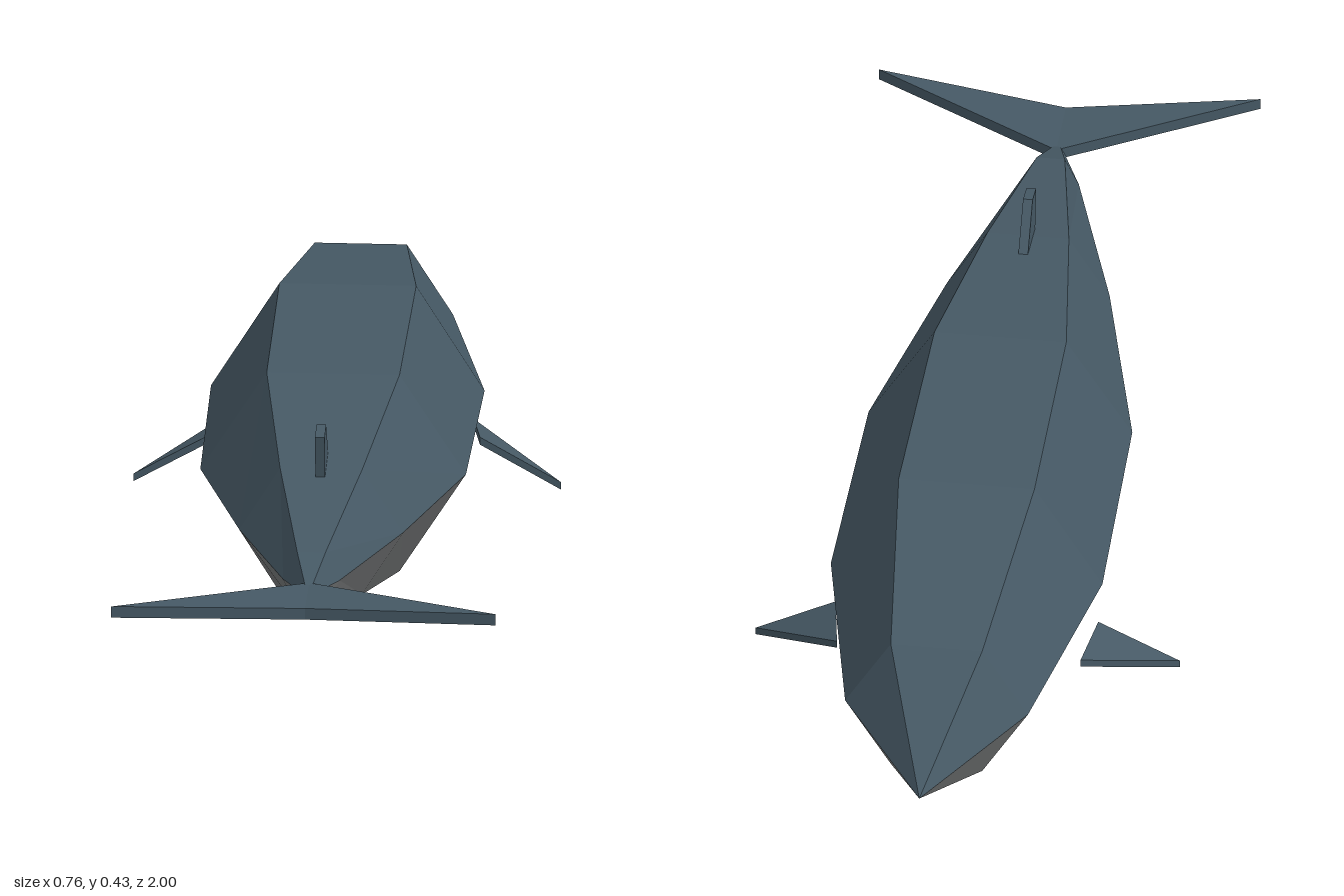
import * as THREE from 'three';

// Flat-shaded geometry from a list of triangles
function fromTriangles(tris) {
  const g = new THREE.BufferGeometry();
  g.setAttribute('position', new THREE.Float32BufferAttribute(tris.flat(2), 3));
  g.computeVertexNormals();
  return g;
}

// Skin over consecutive open cross-sections of equal length
function loft(rows) {
  const tris = [];
  for (let k = 0; k < rows.length - 1; k++) {
    for (let i = 0; i < rows[k].length - 1; i++) {
      const a = rows[k][i], b = rows[k][i + 1], c = rows[k + 1][i + 1], d = rows[k + 1][i];
      if (k > 0) tris.push([a, b, c]);
      if (k < rows.length - 2) tris.push([a, c, d]);
      else if (k === 0) tris.push([a, b, c]);
    }
  }
  // The first row is a point, so its quads are single triangles
  for (let i = 0; i < rows[0].length - 1; i++) {
    tris.push([rows[0][i], rows[1][i + 1], rows[1][i]]);
  }
  return fromTriangles(tris.filter(([a, b, c]) => {
    const [p, q, r] = [a, b, c].map((v) => new THREE.Vector3(...v));
    return new THREE.Triangle(p, q, r).getArea() > 1e-7;
  }).filter((t, i, all) => all.findIndex((u) => u.flat().join() === t.flat().join()) === i));
}

// Triangular fin of constant height: group 0 is the upper side and rim, group 1 the underside
function fin(corners, height, side) {
  const pts = corners.map(([x, y, z]) => [x * side, y, z]);
  if (side < 0) pts.reverse();
  const up = pts.map(([x, y, z]) => [x, y + height / 2, z]);
  const low = pts.map(([x, y, z]) => [x, y - height / 2, z]);
  const tris = [up];
  for (let i = 0; i < 3; i++) {
    const j = (i + 1) % 3;
    tris.push([low[i], low[j], up[j]], [low[i], up[j], up[i]]);
  }
  tris.push([low[0], low[2], low[1]]);
  const g = fromTriangles(tris);
  g.addGroup(0, 21, 0);
  g.addGroup(21, 3, 1);
  return g;
}

export function createModel() {
  const model = new THREE.Group();
  const backMat = new THREE.MeshStandardMaterial({ color: 0x465965, flatShading: true });
  backMat.name = 'slate blue';
  const bellyMat = new THREE.MeshStandardMaterial({ color: 0x77797a, flatShading: true });
  bellyMat.name = 'belly grey';

  const add = (name, geometry, material) => {
    const mesh = new THREE.Mesh(geometry, material);
    mesh.name = name;
    model.add(mesh);
  };

  // Hexagonal body sections: z, top, middle, bottom, half width
  const sections = [
    [-1, 0.155, 0.155, 0.155, 0],
    [-0.77, 0.32, 0.19, 0.06, 0.163],
    [-0.37, 0.392, 0.197, 0.002, 0.242],
    [0.08, 0.392, 0.207, 0.022, 0.235],
    [0.45, 0.35, 0.233, 0.115, 0.145],
    [0.75, 0.305, 0.253, 0.2, 0.05],
    [0.86, 0.262, 0.262, 0.262, 0],
  ];
  const half = (pick) => sections.map(([z, top, mid, bottom, w]) => pick(z, top, mid, bottom, w));
  add('back', loft(half((z, t, m, b, w) =>
    [[w, m, z], [w / 2, t, z], [-w / 2, t, z], [-w, m, z]])), backMat);
  add('belly', loft(half((z, t, m, b, w) =>
    [[-w, m, z], [-w / 2, b, z], [w / 2, b, z], [w, m, z]])), bellyMat);

  // Paired flippers and tail flukes
  const flipper = [[0.217, 0.097, -0.475], [0.234, 0.104, -0.365], [0.378, 0.026, -0.355]];
  const fluke = [[0, 0.263, 0.82], [0, 0.263, 0.95], [0.34, 0.278, 1]];
  for (const [label, side] of [['left', 1], ['right', -1]]) {
    add(label + 'Flipper', fin(flipper, 0.014, side), [backMat, bellyMat]);
    add(label + 'Fluke', fin(fluke, 0.021, side), [backMat, bellyMat]);
  }

  // Small swept dorsal fin
  const outline = new THREE.Shape([[0.375, 0.35], [0.445, 0.432], [0.49, 0.424], [0.478, 0.34]]
    .reverse().map(([z, y]) => new THREE.Vector2(z, y)));
  const dorsal = new THREE.ExtrudeGeometry(outline, { depth: 0.017, bevelEnabled: false });
  dorsal.translate(0, 0, -0.0085).rotateY(-Math.PI / 2);
  add('dorsalFin', dorsal, backMat);

  return model;
}
